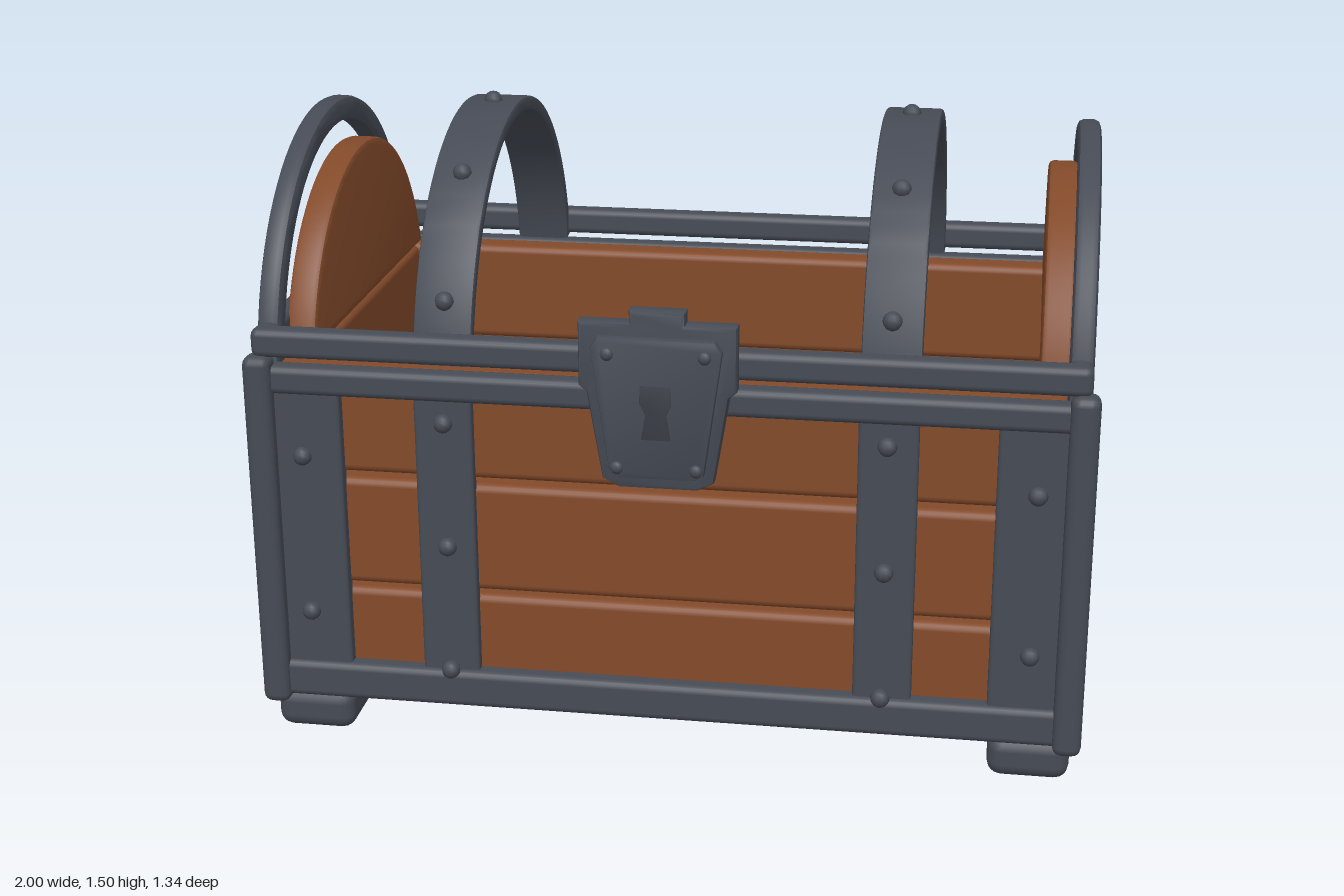
import * as THREE from 'three';
import { RoundedBoxGeometry } from 'three/addons/geometries/RoundedBoxGeometry.js';
import { toCreasedNormals } from 'three/addons/utils/BufferGeometryUtils.js';

export function createModel() {
  const wood = new THREE.MeshStandardMaterial({ color: 0x834a2a });
  wood.name = 'wood';
  const iron = new THREE.MeshStandardMaterial({ color: 0x464b55 });
  iron.name = 'iron';
  const darkIron = new THREE.MeshStandardMaterial({ color: 0x3b3f48 });
  darkIron.name = 'darkIron';

  const model = new THREE.Group();
  model.name = 'treasureChest';
  const chest = new THREE.Group();
  chest.name = 'chest';
  chest.position.z = -0.035;
  model.add(chest);

  const add = (name, geometry, material, parent = chest) => {
    const mesh = new THREE.Mesh(geometry, material);
    mesh.name = name;
    parent.add(mesh);
    return mesh;
  };

  // Rounded block given by its extents on each axis
  const block = (name, material, [x0, x1], [y0, y1], [z0, z1], radius = 0.015) => {
    const g = new RoundedBoxGeometry(x1 - x0, y1 - y0, z1 - z0, 2, radius);
    g.translate((x0 + x1) / 2, (y0 + y1) / 2, (z0 + z1) / 2);
    return add(name, g, material);
  };
  const span = (a, b, s) => (s > 0 ? [a, b] : [-b, -a]);

  const rivetGeometry = new THREE.SphereGeometry(0.023, 10, 8);
  const rivet = (x, y, z, parent = chest) =>
    add('rivet', rivetGeometry, iron, parent).position.set(x, y, z);

  // Flat outline extruded in depth, centred, with a soft bevel
  const slab = (shape, depth, bevel, curveSegments = 20) => {
    const g = new THREE.ExtrudeGeometry(shape, {
      depth: depth - 2 * bevel, bevelThickness: bevel, bevelSize: bevel,
      bevelOffset: -bevel, bevelSegments: 2, curveSegments,
    });
    g.translate(0, 0, bevel - depth / 2);
    return toCreasedNormals(g, 0.7);
  };

  // Floor
  block('floor', wood, [-0.93, 0.93], [0.1, 0.15], [-0.57, 0.57], 0.01);

  // Three rows of planks around the body
  for (const [y0, y1] of [[0.105, 0.38], [0.392, 0.667], [0.682, 0.95]]) {
    for (const s of [1, -1]) {
      block('longPlank', wood, [-0.935, 0.935], [y0, y1], span(0.49, 0.575, s), 0.02);
      block('endPlank', wood, span(0.865, 0.94, s), [y0, y1], [-0.489, 0.489], 0.02);
    }
  }

  // Horizontal rails: base, body rim and lid rim
  for (const [name, y0, y1] of [['baseRail', 0.095, 0.19], ['rimRail', 0.885, 0.955], ['lidRail', 0.975, 1.045]]) {
    const end = name === 'lidRail' ? 0.98 : 0.95;
    for (const s of [1, -1]) {
      block(name, iron, [-end, end], [y0, y1], span(0.56, 0.617, s), 0.018);
      block(name, iron, span(0.925, 0.978, s), [y0, y1], [-0.6, 0.6], 0.018);
    }
  }

  // Corners: feet, posts, riveted plates
  for (const sx of [1, -1]) {
    for (const sz of [1, -1]) {
      block('foot', iron, span(0.78, 0.975, sx), [0, 0.105], span(0.412, 0.608, sz), 0.035);
      block('cornerPost', iron, span(0.932, 1, sx), [0.08, 0.98], span(0.57, 0.637, sz), 0.022);
      block('frontPlate', iron, span(0.775, 0.94, sx), [0.17, 0.9], span(0.56, 0.603, sz), 0.01);
      block('endPlate', iron, span(0.928, 0.968, sx), [0.17, 0.9], span(0.415, 0.585, sz), 0.01);
      for (const y of [0.73, 0.325]) {
        rivet(sx * 0.87, y, sz * 0.605);
        rivet(sx * 0.97, y, sz * 0.502);
      }
      // Upright straps
      block('uprightStrap', iron, span(0.455, 0.595, sx), [0.17, 0.9], span(0.56, 0.6, sz), 0.01);
      for (const y of [0.83, 0.515, 0.195]) rivet(sx * 0.523, y, sz * (y < 0.2 ? 0.613 : 0.602));
    }
  }

  // Arched hoops over the open lid
  const arcY = 0.88;
  const hoop = (name, x, width, outer, inner, start, bevel) => {
    const shape = new THREE.Shape();
    shape.absarc(0, 0, outer, start, Math.PI - start, false);
    shape.absarc(0, 0, inner, Math.PI - start, start, true);
    const g = slab(shape, width, bevel);
    g.rotateY(-Math.PI / 2);
    add(name, g, iron).position.set(x, arcY, 0);
  };

  // Half-round end panel of the lid
  const panel = new THREE.Shape();
  const panelStart = Math.asin(0.11 / 0.508);
  panel.absarc(0, 0, 0.508, panelStart, Math.PI - panelStart, false);
  panel.closePath();
  const panelGeometry = slab(panel, 0.073, 0.012, 24).rotateY(-Math.PI / 2);

  for (const s of [1, -1]) {
    hoop('endHoop', s * 0.953, 0.056, 0.58, 0.517, 0.09, 0.016);
    hoop('lidStrap', s * 0.525, 0.14, 0.594, 0.558, 0.15, 0.008);
    add('lidEndPanel', panelGeometry, wood).position.set(s * 0.8965, 0.847, 0);
    for (const a of [-1.165, -0.6, 0, 0.6, 1.165]) {
      rivet(s * 0.523, arcY + 0.594 * Math.cos(a), 0.594 * Math.sin(a));
    }
  }

  // Lock on the front
  const lock = new THREE.Group();
  lock.name = 'lock';
  model.add(lock);
  const outline = (points) => new THREE.Shape(points.map(([x, y]) => new THREE.Vector2(x, y)));
  const mirrored = (half) => outline([...half, ...half.map(([x, y]) => [-x, y]).reverse()]);

  const back = mirrored([[0.09, 0.72], [0.13, 0.74], [0.165, 0.95], [0.183, 0.965], [0.183, 1.12], [0.065, 1.12], [0.065, 1.15]]);
  add('lockBackPlate', slab(back, 0.05, 0.01), iron, lock).position.z = 0.61;
  const face = mirrored([[0.085, 0.752], [0.11, 0.765], [0.152, 1.065], [0.135, 1.09]]);
  add('lockFacePlate', slab(face, 0.03, 0.007), iron, lock).position.z = 0.64;
  const keyhole = mirrored([[0.034, 0.85], [0.024, 0.91], [0.036, 0.935], [0.036, 0.98]]);
  add('keyhole', slab(keyhole, 0.006, 0.001), darkIron, lock).position.z = 0.655;
  for (const s of [1, -1]) {
    for (const [x, y] of [[0.112, 1.052], [0.092, 0.778]]) {
      const r = add('lockRivet', rivetGeometry, iron, lock);
      r.position.set(s * x, y, 0.653);
      r.scale.set(0.7, 0.7, 0.55);
    }
  }

  return model;
}
